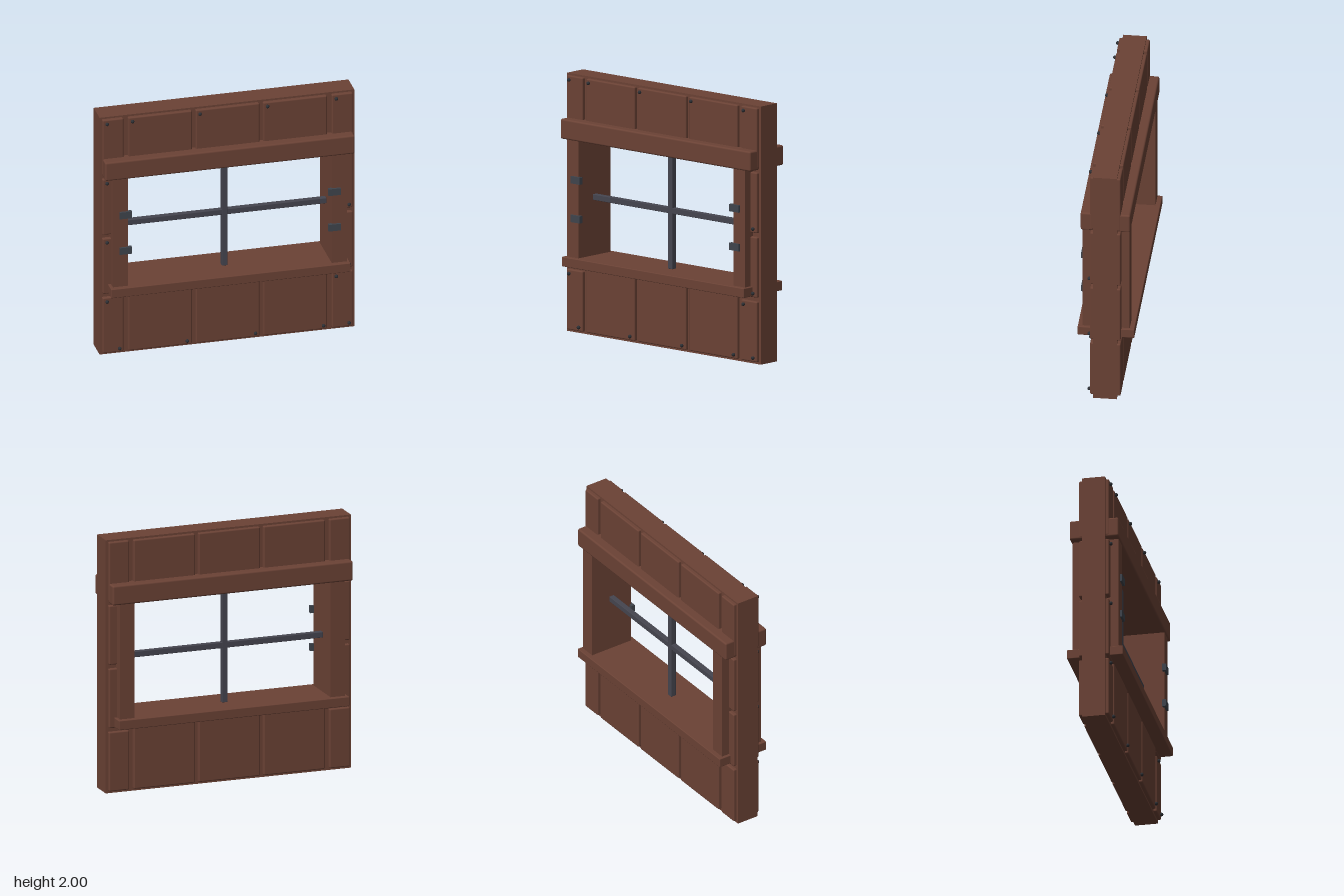
import * as THREE from 'three';
import { RoundedBoxGeometry } from 'three/addons/geometries/RoundedBoxGeometry.js';

const material = (name, color) => {
  const m = new THREE.MeshStandardMaterial({ color });
  m.name = name;
  return m;
};

export function createModel() {
  const model = new THREE.Group();
  model.name = 'windowWall';
  const wood = material('brown wood', 0x6b4235);
  const iron = material('dark iron', 0x45454f);
  const clipIron = material('clip iron', 0x3f444c);
  const nailIron = material('nail iron', 0x2d3035);

  // Box given by its limits on each axis; a radius rounds its edges
  function block(name, mat, [x0, x1], [y0, y1], [z0, z1], radius = 0) {
    const size = [x1 - x0, y1 - y0, z1 - z0];
    const geometry = radius
      ? new RoundedBoxGeometry(...size, 2, radius)
      : new THREE.BoxGeometry(...size);
    const mesh = new THREE.Mesh(geometry, mat);
    mesh.name = name;
    mesh.position.set((x0 + x1) / 2, (y0 + y1) / 2, (z0 + z1) / 2);
    model.add(mesh);
  }
  const mirrored = ([a, b], s) => (s > 0 ? [a, b] : [-b, -a]);

  // Wall core around the opening
  const core = [-0.09, 0.09];
  block('lowerWall', wood, [-0.8, 0.8], [0, 0.6], core);
  block('header', wood, [-0.8, 0.8], [1.505, 2], core);
  for (const s of [1, -1]) block('sidePost', wood, mirrored([0.8, 1], s), [0, 2], core);

  // Planks and window trim, the same on front and back
  for (const side of [1, -1]) {
    const plankZ = mirrored([0.07, 0.117], side);
    for (const x of [-0.53, 0, 0.53]) {
      const span = [x - 0.25, x + 0.25];
      block('lowerPlank', wood, span, [0.018, 0.58], plankZ, 0.01);
      block('upperPlank', wood, span, [1.525, 1.985], plankZ, 0.01);
    }
    for (const s of [1, -1]) {
      const span = mirrored([0.818, 0.982], s);
      for (let i = 0; i < 4; i++) {
        const y = 0.018 + i * 0.5;
        block('postPlank', wood, span, [y, y + 0.468], plankZ, 0.01);
      }
      block('windowJamb', wood, mirrored([0.8, 0.918], s), [0.58, 1.53],
        mirrored([0.08, 0.18], side));
    }
    block('lintel', wood, [-0.98, 0.98], [1.505, 1.66], mirrored([0.07, 0.19], side), 0.014);
    block('windowSill', wood, [-0.94, 0.94], [0.525, 0.6], mirrored([0.07, 0.217], side), 0.006);
  }

  // Crossed window bars
  block('uprightBar', iron, [-0.022, 0.022], [0.6, 1.51], [-0.022, 0.022], 0.004);
  block('crossBar', iron, [-0.8, 0.8], [1.03, 1.075], [-0.021, 0.021], 0.004);

  // Shutter clips on the front jambs
  for (const s of [1, -1]) {
    for (const y of [0.903, 1.203]) {
      block('clip', clipIron, mirrored([0.772, 0.868], s), [y - 0.028, y + 0.028], [0.168, 0.197]);
    }
  }

  // Nail heads on the front planks
  const nails = [
    [-0.95, 1.955], [-0.75, 1.955], [-0.22, 1.955], [0.31, 1.955], [0.85, 1.955],
    [-0.95, 1.455], [-0.95, 0.955], [-0.95, 0.455], [0.85, 0.455],
    [0.95, 1.05], [0.95, 0.55],
    [-0.85, 0.05], [-0.32, 0.05], [0.215, 0.05], [0.75, 0.05], [0.95, 0.05],
  ];
  const nailGeometry = new THREE.SphereGeometry(0.014, 10, 8);
  for (const [x, y] of nails) {
    const nail = new THREE.Mesh(nailGeometry, nailIron);
    nail.name = 'nail';
    nail.position.set(x, y, 0.126);
    model.add(nail);
  }
  return model;
}
